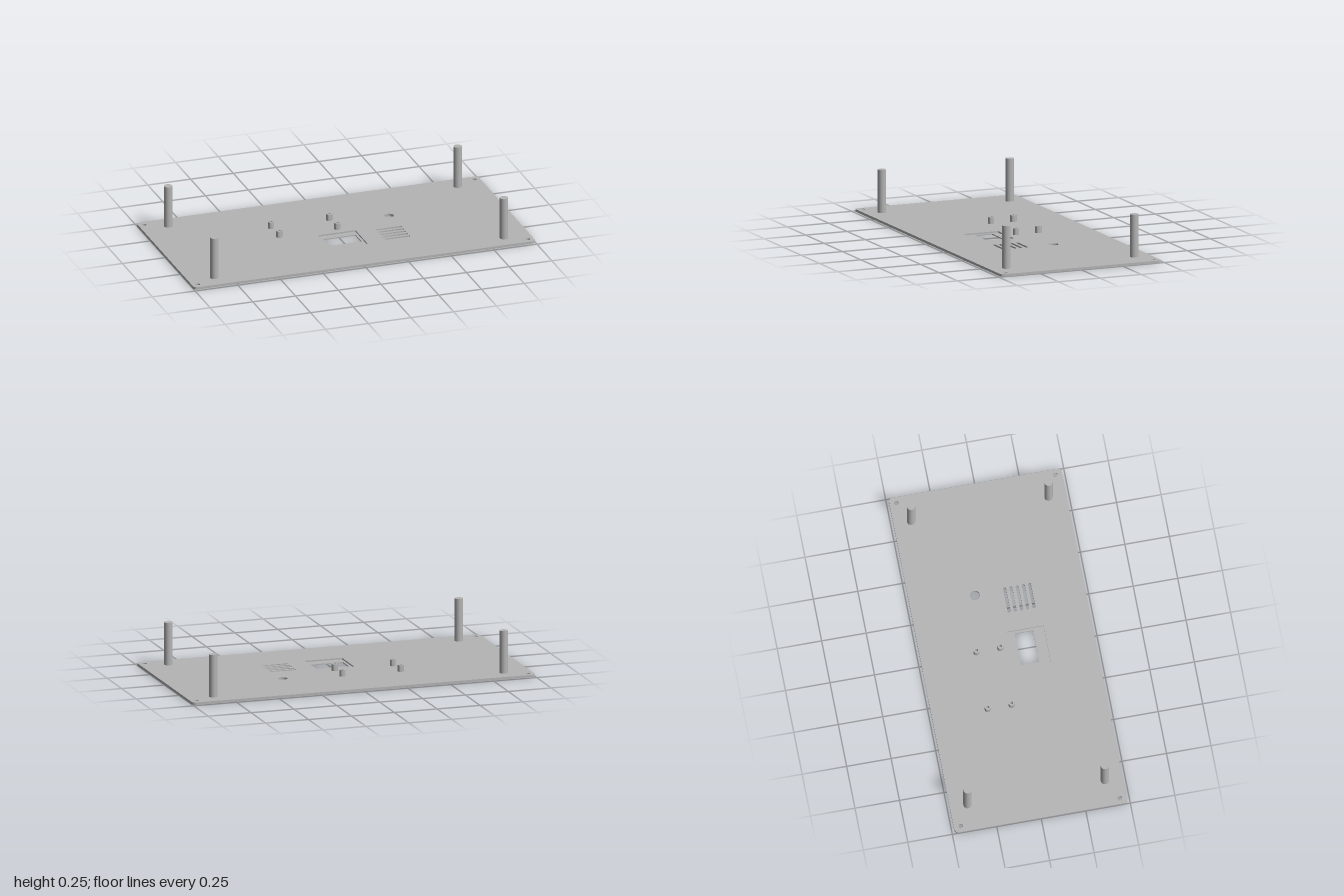
import * as THREE from 'three';
import { toCreasedNormals } from 'three/addons/utils/BufferGeometryUtils.js';

const HALF_DEPTH = 0.485, THICK = 0.014, FLOOR = 0.006;

// Rounded rectangle centred at (x, z); works for outlines and for holes
function roundedRect(path, x, z, w, d, r) {
  const a = w / 2 - r, b = d / 2 - r;
  path.absarc(x + a, z + b, r, 0, Math.PI / 2);
  path.absarc(x - a, z + b, r, Math.PI / 2, Math.PI);
  path.absarc(x - a, z - b, r, Math.PI, Math.PI * 1.5);
  path.absarc(x + a, z - b, r, Math.PI * 1.5, Math.PI * 2);
  path.closePath();
  return path;
}

function rect(x0, x1, z0, z1) {
  return new THREE.Path([[x0, z0], [x1, z0], [x1, z1], [x0, z1]]
    .map(([x, z]) => new THREE.Vector2(x, z))).closePath();
}

function circle(path, x, z, r) {
  return path.absarc(x, z, r, 0, Math.PI * 2);
}

// Extrudes a shape drawn in (x, z) from height y0 to y1
function slab(shape, y0, y1) {
  const g = new THREE.ExtrudeGeometry(shape, { depth: y1 - y0, bevelEnabled: false, curveSegments: 16 });
  g.rotateX(Math.PI / 2).translate(0, y1, 0);
  return toCreasedNormals(g, 0.6);
}

// Panel outline with every opening that goes right through
function panelShape(opening) {
  const s = roundedRect(new THREE.Shape(), 0, 0, 2, HALF_DEPTH * 2, 0.022);
  for (const x of [-0.966, 0.966])
    for (const z of [-0.447, 0.447]) s.holes.push(circle(new THREE.Path(), x, z, 0.0125));
  s.holes.push(circle(new THREE.Path(), 0.352, -0.12, 0.027));
  for (let i = 0; i < 5; i++)
    s.holes.push(roundedRect(new THREE.Path(), 0.293, 0.048 + i * 0.035, 0.15, 0.017, 0.008));
  s.holes.push(opening);
  return s;
}

export function createModel() {
  const model = new THREE.Group();
  model.name = 'panel';
  const grey = new THREE.MeshStandardMaterial({ color: 0xb4b4b4 });
  grey.name = 'grey';

  const add = (name, geometry, x = 0, y = 0, z = 0) => {
    const mesh = new THREE.Mesh(geometry, grey);
    mesh.name = name;
    mesh.position.set(x, y, z);
    model.add(mesh);
  };

  // Plate in two layers: the upper one has the wider recess around the window
  add('plateBottom', slab(panelShape(rect(-0.094, 0.094, 0.056, 0.158)), 0, FLOOR));
  add('plateTop', slab(panelShape(rect(-0.109, 0.109, 0.013, 0.22)), FLOOR, THICK));

  // Tall corner posts
  const postHeight = 0.255 - THICK;
  const post = new THREE.CylinderGeometry(0.0235, 0.0235, postHeight, 32);
  for (const x of [-0.847, 0.847])
    for (const z of [-0.386, 0.386]) add('cornerPost', post, x, THICK + postHeight / 2, z);

  // Short hollow standoffs
  const ring = circle(new THREE.Shape(), 0, 0, 0.0172);
  ring.holes.push(circle(new THREE.Path(), 0, 0, 0.008));
  const standoff = slab(ring, THICK, 0.051);
  for (const x of [-0.319, 0.021])
    for (const z of [-0.173, -0.039]) add('standoff', standoff, x, 0, z);

  return model;
}
